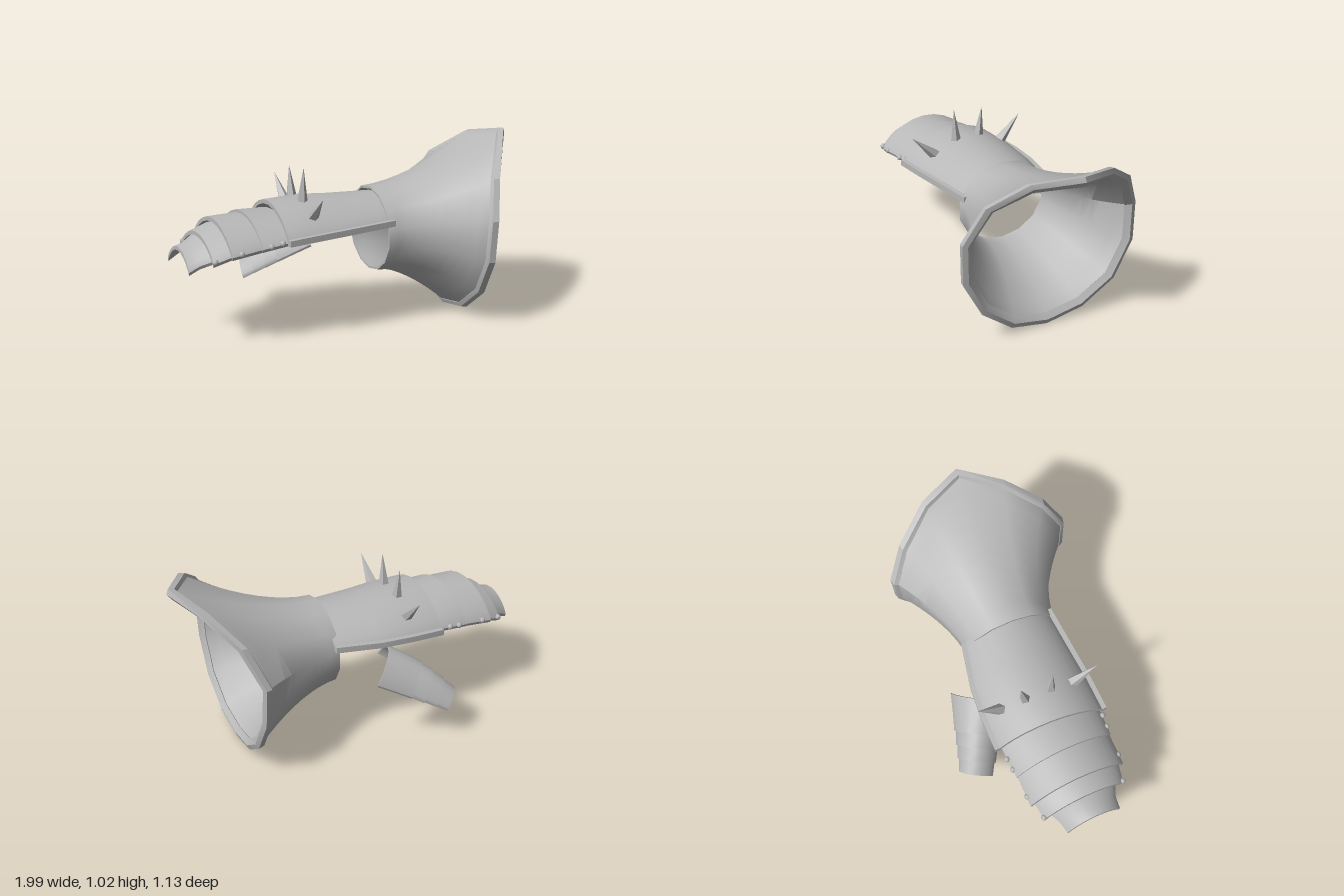
import * as THREE from 'three';
import { toCreasedNormals } from 'three/addons/utils/BufferGeometryUtils.js';

const steel = new THREE.MeshStandardMaterial({ color: 0xb8b8b8, side: THREE.DoubleSide });
steel.name = 'steel';

const V = (x, y, z) => new THREE.Vector3(x, y, z);

// Skin closed loops of points; caps pair each point with its opposite in the loop
function loft(loops, { capped = true, closed = false, crease = 0.6 } = {}) {
  const n = loops[0].length, pos = [], index = [];
  loops.forEach(l => l.forEach(p => pos.push(p.x, p.y, p.z)));
  const quad = (a, b, c, d) => index.push(a, b, c, a, c, d);
  const rows = closed ? loops.length : loops.length - 1;
  for (let r = 0; r < rows; r++) {
    const s = (r + 1) % loops.length;
    for (let i = 0; i < n; i++) {
      const j = (i + 1) % n;
      quad(r * n + i, r * n + j, s * n + j, s * n + i);
    }
  }
  if (capped) {
    const e = (loops.length - 1) * n;
    for (let i = 0; i < n / 2 - 1; i++) {
      quad(i, n - 1 - i, n - 2 - i, i + 1);
      quad(e + i, e + i + 1, e + n - 2 - i, e + n - 1 - i);
    }
  }
  const g = new THREE.BufferGeometry();
  g.setAttribute('position', new THREE.Float32BufferAttribute(pos, 3));
  g.setIndex(index);
  return toCreasedNormals(g, crease);
}

// Curved plate from sections of [front edge, apex, back edge]
function archPlate(sections, thickness = 0.018, steps = 12) {
  return loft(sections.map(([f, apex, b]) => {
    const mid = f.clone().add(b).multiplyScalar(0.5);
    const rise = apex.clone().sub(mid);
    const drop = rise.clone().normalize().multiplyScalar(-thickness);
    const outer = [], inner = [];
    for (let i = 0; i <= steps; i++) {
      const u = (1 - Math.cos(Math.PI * i / steps)) / 2;
      const p = f.clone().lerp(b, u).addScaledVector(rise, Math.pow(4 * u * (1 - u), 0.8));
      outer.push(p);
      inner.unshift(p.clone().lerp(mid, 0.03).add(drop));
    }
    return [...outer, ...inner];
  }));
}

// Section across the hand: x, edge height, top height, front z, back z, back edge shift
const across = ([x, edge, top, zf, zb, skew = 0]) =>
  [V(x, edge, zf), V(x + skew / 2, top, (zf + zb) / 2), V(x + skew, edge, zb)];

// Square bar following a list of points
const bar = (pts, h = 0.017) => loft(pts.map(p =>
  [[-h, -h], [h, -h], [h, h], [-h, h]].map(([z, y]) => V(p.x, p.y + y, p.z + z))));

export function createModel() {
  const model = new THREE.Group();
  const add = (name, geometry, parent = model) => {
    const m = new THREE.Mesh(geometry, steel);
    m.name = name;
    parent.add(m);
    return m;
  };

  // Flared cuff: outline of the rim as x, y, z
  const rim = [
    [0.99, 1.03, 0.07], [0.91, 0.985, -0.17], [0.79, 0.84, -0.375], [0.71, 0.625, -0.485],
    [0.715, 0.40, -0.475], [0.71, 0.19, -0.36], [0.68, 0.055, -0.175], [0.655, 0.005, 0.04],
    [0.645, 0.045, 0.26], [0.64, 0.185, 0.445], [0.635, 0.39, 0.555], [0.645, 0.625, 0.565],
    [0.71, 0.84, 0.465], [0.84, 0.98, 0.29],
  ].map(p => V(...p));
  const rimRing = (dx, s) => rim.map(p => V(p.x + dx, 0.515 + (p.y - 0.515) * s, 0.04 + (p.z - 0.04) * s));
  const flare = (end, inset) => {
    const rings = [];
    for (let k = 0; k <= 9; k++) {
      const t = k / 9, w = Math.pow(t, 1.7);
      rings.push(end.map((p, i) => {
        const a = Math.atan2(rim[i].y - 0.515, rim[i].z - 0.04);
        const y = 0.52 + (0.24 - inset) * Math.sin(a), z = (0.27 - inset) * Math.cos(a);
        const x = 0.135 - 0.06 * z;
        return V(x + (p.x - x) * t, y + (p.y - y) * w, z + (p.z - z) * w);
      }));
    }
    return rings;
  };
  add('cuff', loft([...flare(rimRing(-0.045, 0.95), 0), ...flare(rimRing(-0.03, 0.89), 0.012).reverse()],
    { capped: false, closed: true }));
  add('cuffRim', loft([rimRing(-0.055, 0.94), rimRing(-0.045, 0.985), rimRing(-0.01, 1),
    rimRing(0, 0.945), rimRing(-0.025, 0.88)], { capped: false, closed: true, crease: 0.45 }));

  // Back of the hand with a bar along each edge
  const hand = [
    [-0.49, 0.575, 0.737, 0.27, -0.35, 0.04], [-0.3, 0.585, 0.745, 0.268, -0.345, 0.04],
    [-0.1, 0.592, 0.73, 0.258, -0.325, 0.03], [0.16, 0.602, 0.725, 0.245, -0.265, 0.02],
  ].map(across);
  add('handPlate', archPlate(hand));
  add('frontEdgeBar', bar(hand.map(s => s[0])));
  add('backEdgeBar', bar(hand.map(s => s[2])));

  // Overlapping finger plates, knuckles to fingertips
  const fingers = [
    [[-0.63, 0.553, 0.7, 0.245, -0.325], [-0.45, 0.575, 0.69, 0.25, -0.33]],
    [[-0.8, 0.53, 0.682, 0.237, -0.322], [-0.6, 0.555, 0.685, 0.238, -0.318]],
    [[-0.89, 0.495, 0.615, 0.195, -0.28], [-0.78, 0.53, 0.65, 0.215, -0.3]],
    [[-1, 0.447, 0.55, 0.123, -0.195], [-0.94, 0.475, 0.562, 0.125, -0.21], [-0.86, 0.505, 0.61, 0.16, -0.25]],
  ];
  fingers.forEach((s, i) => add('fingerPlate' + (i + 1), archPlate(s.map(across))));

  // Rivets on both sides of the finger plates
  [[-0.88, 0.505, 0.195, -0.28], [-0.745, 0.54, 0.232, -0.315],
    [-0.58, 0.562, 0.245, -0.325], [-0.517, 0.573, 0.25, -0.33]].forEach(([x, y, zf, zb]) => {
    for (const z of [zf, zb]) add('rivet', new THREE.SphereGeometry(0.017, 8, 6)).position.set(x, y, z);
  });

  // Knuckle spikes, base to tip
  [[V(-0.3, 0.655, 0.15), V(-0.31, 0.8, 0.31)], [V(-0.3, 0.69, 0.03), V(-0.295, 0.92, 0.045)],
    [V(-0.295, 0.69, -0.11), V(-0.295, 0.9, -0.14)], [V(-0.275, 0.655, -0.235), V(-0.275, 0.81, -0.385)],
  ].forEach(([base, tip]) => {
    const dir = tip.clone().sub(base), len = dir.length();
    const spike = add('spike', toCreasedNormals(new THREE.ConeGeometry(0.037, len, 5), 0.3));
    spike.position.copy(base).addScaledVector(dir, 0.5);
    spike.quaternion.setFromUnitVectors(V(0, 1, 0), dir.normalize());
  });

  // Thumb: three overlapping plates tapering from root to tip
  const root = [V(-0.165, 0.42, -0.145), V(-0.13, 0.54, -0.32), V(0.01, 0.41, -0.435)];
  const tip = [V(-0.475, 0.205, -0.405), V(-0.445, 0.285, -0.51), V(-0.37, 0.205, -0.565)];
  const thumbAt = (t, grow) => {
    const s = root.map((p, i) => p.clone().lerp(tip[i], t));
    s[1].y += 0.03 * Math.sin(Math.PI * t);
    const mid = s[0].clone().add(s[2]).multiplyScalar(0.5);
    return s.map(p => p.sub(mid).multiplyScalar(grow).add(mid));
  };
  const thumb = new THREE.Group();
  thumb.name = 'thumb';
  model.add(thumb);
  [[0, 0.48], [0.42, 0.66], [0.6, 0.83], [0.77, 1]].forEach(([a, b], i) =>
    add('thumbPlate' + (i + 1), archPlate([thumbAt(a, i ? 0.92 : 1), thumbAt((a + b) / 2, i ? 0.97 : 1),
      thumbAt(b, 1.02)], 0.012), thumb));

  return model;
}
